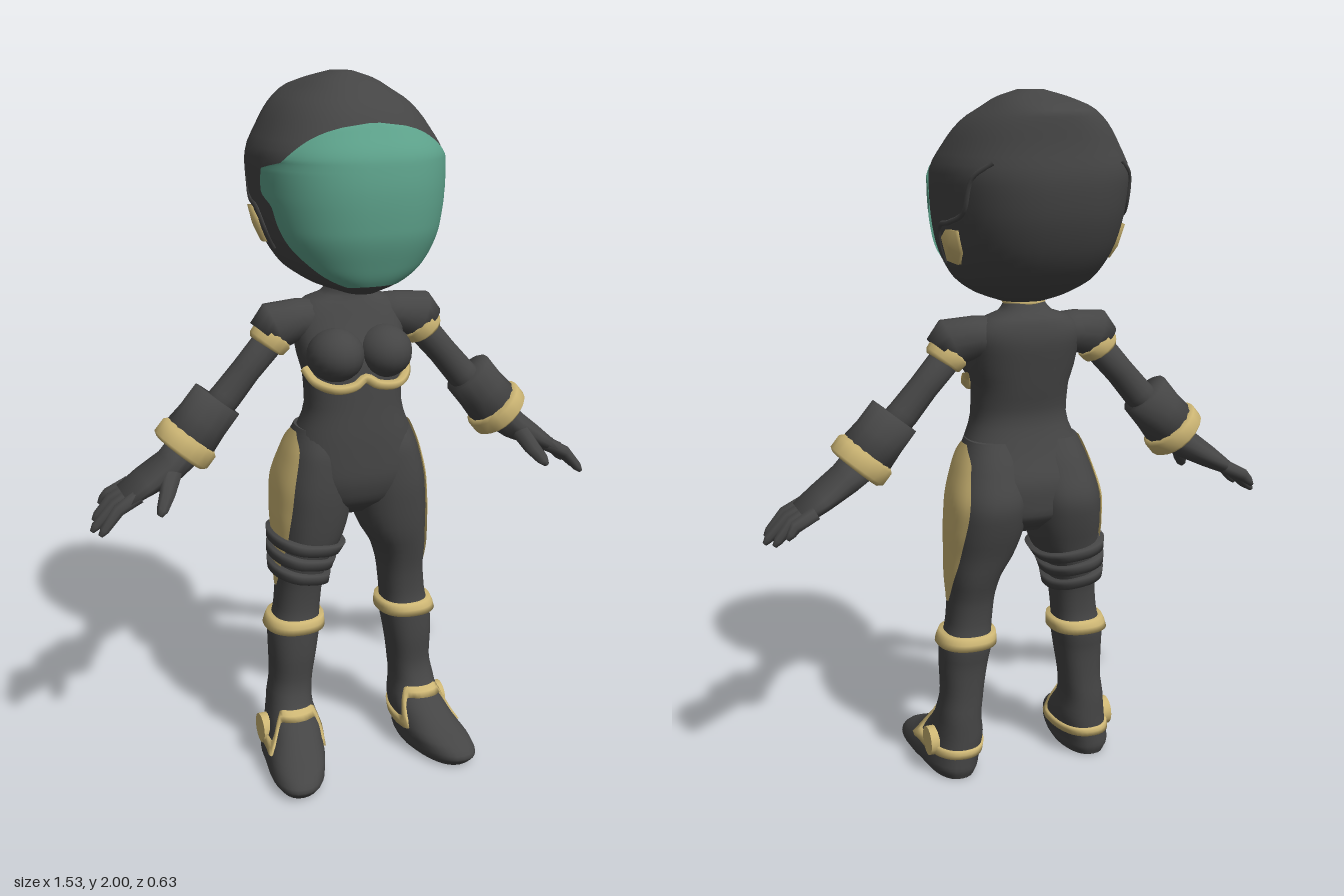
import * as THREE from 'three';

const mat = (name, color, side = THREE.FrontSide) => {
  const m = new THREE.MeshStandardMaterial({ color, side });
  m.name = name;
  return m;
};
const POW = 0.85; // squareness of the cross-sections

// Cross-section tables, bottom to top: [y, centre x, front z, back z, half width]
const HEAD = [
  [1.42, 0, 0.14, -0.04, 0.05], [1.45, 0, 0.185, -0.12, 0.13], [1.5, 0, 0.21, -0.2, 0.195],
  [1.6, 0, 0.24, -0.27, 0.242], [1.7, 0, 0.247, -0.305, 0.258], [1.78, 0, 0.24, -0.315, 0.262],
  [1.86, 0, 0.2, -0.305, 0.225], [1.92, 0, 0.155, -0.3, 0.18], [1.95, 0, 0.11, -0.295, 0.14],
  [1.98, 0, 0.05, -0.19, 0.09], [2.0, 0, -0.01, -0.1, 0.03]];
const TORSO = [
  [0.76, 0, 0.06, -0.06, 0.09], [0.82, 0, 0.13, -0.12, 0.17], [0.9, 0, 0.15, -0.125, 0.198],
  [1.0, 0, 0.148, -0.09, 0.172], [1.1, 0, 0.14, -0.065, 0.14], [1.17, 0, 0.135, -0.08, 0.14],
  [1.24, 0, 0.125, -0.095, 0.155], [1.33, 0, 0.08, -0.11, 0.162], [1.38, 0, 0.055, -0.1, 0.13],
  [1.4, 0, 0.045, -0.08, 0.075], [1.43, 0, 0.045, -0.06, 0.052]];
const LEG = [
  [0, 0.215, 0.29, -0.05, 0.07], [0.03, 0.215, 0.315, -0.06, 0.085], [0.06, 0.21, 0.29, -0.06, 0.085],
  [0.09, 0.205, 0.225, -0.06, 0.08], [0.13, 0.2, 0.165, -0.06, 0.075], [0.18, 0.2, 0.11, -0.06, 0.065],
  [0.25, 0.192, 0.088, -0.057, 0.062], [0.35, 0.185, 0.095, -0.06, 0.07], [0.42, 0.178, 0.095, -0.072, 0.075],
  [0.47, 0.17, 0.085, -0.06, 0.066], [0.55, 0.162, 0.09, -0.065, 0.066], [0.62, 0.155, 0.105, -0.085, 0.074],
  [0.7, 0.132, 0.125, -0.105, 0.096], [0.78, 0.12, 0.135, -0.13, 0.108], [0.85, 0.113, 0.14, -0.143, 0.11],
  [0.95, 0.1, 0.135, -0.11, 0.097], [1.03, 0.085, 0.11, -0.07, 0.08]];
LEG.splay = 0.17; // toes turn outward

// Smooth monotone interpolation of a table column
function at(t, y, c) {
  let i = 0;
  while (i < t.length - 2 && y > t[i + 1][0]) i++;
  const d = (k) => (t[k + 1][c] - t[k][c]) / (t[k + 1][0] - t[k][0]);
  const slope = (k) => {
    if (k === 0) return d(0);
    if (k === t.length - 1) return d(k - 1);
    const a = d(k - 1), b = d(k);
    return a * b <= 0 ? 0 : (2 * a * b) / (a + b);
  };
  const h = t[i + 1][0] - t[i][0], s = THREE.MathUtils.clamp((y - t[i][0]) / h, 0, 1);
  const s2 = s * s, s3 = s2 * s;
  return (2 * s3 - 3 * s2 + 1) * t[i][c] + (s3 - 2 * s2 + s) * h * slope(i)
    + (3 * s2 - 2 * s3) * t[i + 1][c] + (s3 - s2) * h * slope(i + 1);
}
const spow = (v) => Math.sign(v) * Math.abs(v) ** POW;

// Point on a body surface; angle 0 faces front, 90 degrees faces the model's left
function surf(t, y, a, off = 0, k = 1) {
  const zf = at(t, y, 2), zb = at(t, y, 3);
  const z = (zf + zb) / 2 + k * ((zf - zb) / 2 + off) * spow(Math.cos(a));
  const x = at(t, y, 1) + k * (at(t, y, 4) + off) * spow(Math.sin(a));
  return [x + (t.splay || 0) * Math.max(0, z - 0.1), y, z];
}
function angleAt(t, y, z) {
  const zf = at(t, y, 2), zb = at(t, y, 3);
  const c = THREE.MathUtils.clamp((z - (zf + zb) / 2) / ((zf - zb) / 2), -1, 1);
  return Math.acos(Math.sign(c) * Math.abs(c) ** (1 / POW));
}

// Indexed grid from a point rule; closed joins the last column to the first
function grid(nu, nv, closed, fn) {
  const cols = closed ? nu : nu + 1, pos = [], idx = [];
  for (let j = 0; j <= nv; j++) for (let i = 0; i < cols; i++) pos.push(...fn(i / nu, j / nv, i, j));
  for (let j = 0; j < nv; j++) for (let i = 0; i < nu; i++) {
    const a = j * cols + i, b = j * cols + ((i + 1) % cols);
    idx.push(a, b, b + cols, a, b + cols, a + cols);
  }
  const g = new THREE.BufferGeometry();
  g.setAttribute('position', new THREE.Float32BufferAttribute(pos, 3));
  g.setIndex(idx);
  g.computeVertexNormals();
  return g;
}
// Whole closed body form
const shell = (t, nu, nv) => grid(nu, nv + 2, true, (u, v, i, j) => {
  const s = THREE.MathUtils.clamp((j - 1) / nv, 0, 1), y0 = t[0][0], y1 = t[t.length - 1][0];
  const y = y0 + (y1 - y0) * (0.5 - 0.5 * Math.cos(Math.PI * s));
  return surf(t, y, u * Math.PI * 2, 0, j === 0 || j === nv + 2 ? 0 : 1);
});
// Raised band round a body form; low(angle) is its lower edge
const band = (t, low, h, off) => grid(40, 4, true, (u, v, i, j) => {
  const a = u * Math.PI * 2;
  return surf(t, low(a) + h * THREE.MathUtils.clamp((j - 1) / 2, 0, 1), a, j === 0 || j === 4 ? -0.015 : off);
});
// Tapered limb: rows of [x, y, z, thickness radius, z radius]
const limb = (rows, n = 14) => grid(n, rows.length + 1, true, (u, v, i, j) => {
  const k = THREE.MathUtils.clamp(j - 1, 0, rows.length - 1), r = rows[k];
  const p = rows[Math.max(0, k - 1)], q = rows[Math.min(rows.length - 1, k + 1)];
  const l = Math.hypot(q[0] - p[0], q[1] - p[1]), tx = (q[0] - p[0]) / l, ty = (q[1] - p[1]) / l;
  const cap = j === 0 || j === rows.length + 1 ? 0 : 1;
  const s = Math.sin(u * Math.PI * 2) * r[3] * cap, c = Math.cos(u * Math.PI * 2) * r[4] * cap;
  return [r[0] + ty * s, r[1] - tx * s, r[2] + c];
});
const tube = (pts, r, n = 40) => new THREE.TubeGeometry(
  new THREE.CatmullRomCurve3(pts.map((p) => new THREE.Vector3(...p))), n, r, 6);

function mirrored(g) {
  const m = g.clone().scale(-1, 1, 1), ix = m.index.array;
  for (let i = 0; i < ix.length; i += 3) [ix[i], ix[i + 1]] = [ix[i + 1], ix[i]];
  m.computeVertexNormals();
  return m;
}

export function createModel() {
  const root = new THREE.Group();
  root.name = 'suitedFigure';
  const dark = mat('charcoal', 0x454545), gold = mat('gold', 0xcdb674, THREE.DoubleSide);
  const teal = mat('teal', 0x5da28b, THREE.DoubleSide);
  const add = (name, g, m) => {
    const mesh = new THREE.Mesh(g, m);
    mesh.name = name;
    root.add(mesh);
  };
  const pair = (name, g, m) => {
    add(name + 'Left', g, m);
    add(name + 'Right', mirrored(g), m);
  };

  // Helmet and visor
  add('helmet', shell(HEAD, 40, 36), dark);
  const edge = [[1.45, 0.17], [1.5, 0.15], [1.56, 0.115], [1.62, 0.09], [1.66, 0.08], [1.7, 0.03],
    [1.76, 0.04], [1.78, 0.12], [1.85, 0.165], [1.88, 0.19]];
  add('visor', grid(24, 43, false, (u, v) => {
    const y = 1.45 + 0.43 * v;
    return surf(HEAD, y, Math.max(0.04, angleAt(HEAD, y, at(edge, y, 1))) * (2 * u - 1), 0.006);
  }), teal);
  // Ear plates and the seam behind them: [z, y] outlines laid on the helmet
  const ear = [[-0.035, 1.55], [-0.09, 1.545], [-0.125, 1.58], [-0.135, 1.64], [-0.09, 1.64], [-0.05, 1.615]];
  pair('earPlate', grid(6, 2, true, (u, v, i, j) => {
    const [z, y] = j === 0 ? [-0.085, 1.595] : ear[i];
    return surf(HEAD, y, angleAt(HEAD, y, z), [0.014, 0.012, -0.005][j]);
  }), gold);
  const seam = [[0.02, 1.54], [0.0, 1.6], [-0.03, 1.645], [-0.1, 1.66], [-0.17, 1.69], [-0.21, 1.78], [-0.25, 1.82]];
  pair('helmetSeam', tube(seam.map(([z, y]) => surf(HEAD, y, angleAt(HEAD, y, z))), 0.007), dark);

  // Torso, bust and trims
  add('torso', shell(TORSO, 36, 36), dark);
  const bust = new THREE.SphereGeometry(1, 20, 14).scale(0.08, 0.075, 0.088).translate(0.072, 1.245, 0.09);
  pair('bust', bust, dark);
  const under = [[0.152, 1.205, 0.06], [0.135, 1.175, 0.1], [0.09, 1.16, 0.142], [0.035, 1.165, 0.146]];
  add('bustTrim', tube([...under.map(([x, y, z]) => [-x, y, z]), [0, 1.183, 0.138], ...under.reverse()], 0.014), gold);
  add('collar', new THREE.TorusGeometry(0.052, 0.01, 8, 28).rotateX(Math.PI / 2).translate(0, 1.425, -0.005), gold);

  // Arms
  pair('sleeve', limb([[0.06, 1.325, -0.02, 0.06, 0.07], [0.15, 1.33, -0.01, 0.06, 0.062],
    [0.222, 1.318, -0.005, 0.07, 0.056], [0.242, 1.295, -0.005, 0.056, 0.05]]), dark);
  pair('sleeveTrim', limb([[0.215, 1.3, -0.005, 0.055, 0.05], [0.222, 1.293, -0.005, 0.061, 0.056],
    [0.24, 1.272, -0.005, 0.058, 0.054], [0.245, 1.265, -0.005, 0.05, 0.046]]), gold);
  pair('upperArm', limb([[0.22, 1.29, -0.008, 0.045, 0.044], [0.3, 1.2, -0.01, 0.042, 0.042],
    [0.36, 1.13, -0.01, 0.045, 0.042], [0.41, 1.08, -0.01, 0.045, 0.045]]), dark);
  pair('gloveCuff', limb([[0.385, 1.125, -0.008, 0.076, 0.062], [0.43, 1.07, -0.008, 0.076, 0.07],
    [0.49, 1.0, -0.006, 0.084, 0.08]]), dark);
  pair('wristTrim', limb([[0.463, 1.03, -0.006, 0.08, 0.074], [0.47, 1.022, -0.006, 0.092, 0.085],
    [0.495, 0.992, -0.006, 0.092, 0.086], [0.502, 0.984, -0.006, 0.078, 0.075]], 18), gold);
  pair('palm', limb([[0.48, 1.0, 0, 0.055, 0.06], [0.53, 0.955, 0.005, 0.045, 0.068],
    [0.6, 0.912, -0.005, 0.034, 0.082], [0.66, 0.875, -0.01, 0.022, 0.084]]), dark);
  [[-0.072, -0.092, 0.715, 0.83], [-0.03, -0.045, 0.742, 0.8], [0.012, 0.012, 0.758, 0.79], [0.05, 0.065, 0.745, 0.795]]
    .forEach(([z0, z1, x, y], i) => pair('finger' + (i + 1), limb([[0.63, 0.89, z0, 0.021, 0.022],
      [0.69, 0.86, (z0 + z1) / 2, 0.019, 0.019], [x - 0.012, y + 0.015, z1, 0.014, 0.014],
      [x, y, z1, 0.007, 0.007]], 8), dark));
  pair('thumb', limb([[0.53, 0.955, 0.045, 0.028, 0.028], [0.56, 0.9, 0.085, 0.024, 0.024],
    [0.582, 0.868, 0.115, 0.018, 0.018], [0.592, 0.853, 0.122, 0.009, 0.009]], 8), dark);

  // Legs with boots
  pair('leg', shell(LEG, 32, 56), dark);
  pair('bootTopTrim', band(LEG, () => 0.418, 0.036, 0.013), gold);
  // Ankle trim: high over the instep, low round the heel
  pair('ankleTrim', band(LEG, (a) => {
    const f = Math.acos(Math.cos(a));
    return 0.155 - 0.085 * THREE.MathUtils.smoothstep(f, 0.7, 1.35);
  }, 0.026, 0.006), gold);
  const ankle = surf(LEG, 0.1, angleAt(LEG, 0.1, 0.035));
  pair('ankleDisc', new THREE.CylinderGeometry(0.044, 0.044, 0.03, 20).rotateZ(Math.PI / 2)
    .translate(ankle[0], 0.1, 0.035), gold);
  // Leaf-shaped hip panels
  const spread = [[0.55, 0.08], [0.6, 0.32], [0.7, 0.62], [0.85, 0.76], [0.97, 0.62], [1.02, 0.2]];
  pair('hipPanel', grid(12, 30, false, (u, v) => {
    const y = 0.55 + 0.47 * v;
    return surf(LEG, y, Math.PI / 2 + (2 * u - 1) * at(spread, y, 1), 0.006);
  }), gold);
  // Tilted straps on the right thigh
  [0.668, 0.622, 0.574].forEach((y, i) => add('thighStrap' + (i + 1),
    mirrored(band(LEG, (a) => y + 0.018 * Math.sin(a), 0.03, 0.019)), dark));
  return root;
}
